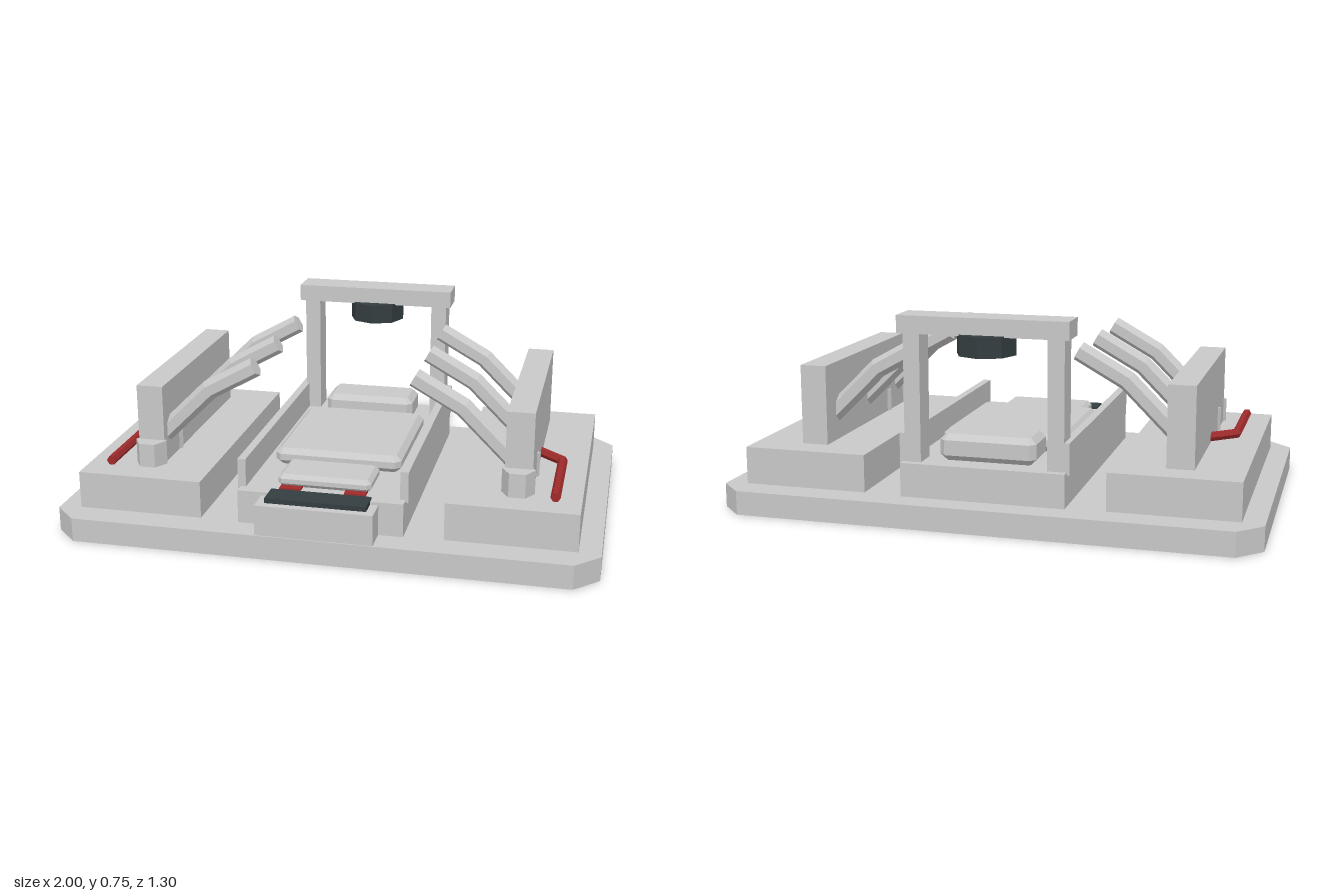
import * as THREE from 'three';

const mat = (name, color, flat) => {
  const m = new THREE.MeshStandardMaterial({ color });
  m.name = name;
  return m;
};

export function createModel() {
  const grey = mat('lightGrey', 0xc8c8c8);
  const dark = mat('darkSlate', 0x343d40);
  const red = mat('deepRed', 0x9e2b2b);
  const model = new THREE.Group();

  const add = (name, geometry, material) => {
    const mesh = new THREE.Mesh(geometry, material);
    mesh.name = name;
    model.add(mesh);
    return mesh;
  };
  const flat = (g) => {
    const f = g.index ? g.toNonIndexed() : g;
    f.computeVertexNormals();
    return f;
  };

  // Box given by its limits on each axis
  const box = (name, x0, x1, y0, y1, z0, z1, material = grey) =>
    add(name, new THREE.BoxGeometry(Math.abs(x1 - x0), y1 - y0, z1 - z0), material)
      .position.set((x0 + x1) / 2, (y0 + y1) / 2, (z0 + z1) / 2);

  // Slab with cut corners and an optional bevel all round
  const slab = (name, hx, hz, y0, y1, z, cut, bevel) => {
    const a = hx - bevel, b = hz - bevel;
    const pts = [[a, b - cut], [a - cut, b], [cut - a, b], [-a, b - cut],
      [-a, cut - b], [cut - a, -b], [a - cut, -b], [a, cut - b]];
    const g = new THREE.ExtrudeGeometry(
      new THREE.Shape(pts.map(([x, y]) => new THREE.Vector2(x, y))), {
        depth: y1 - y0 - 2 * bevel, bevelEnabled: bevel > 0,
        bevelSize: bevel, bevelThickness: bevel, bevelSegments: 1,
      });
    g.rotateX(-Math.PI / 2);
    add(name, g, grey).position.set(0, y0 + bevel, z);
  };

  // Six-sided bar along a planar path with mitred bends; normal is the plane's normal
  const bar = (name, path, radius, normal, turn, material) => {
    const pts = path.map((p) => new THREE.Vector3(...p));
    const n = pts.length;
    const g = new THREE.CylinderGeometry(radius, radius, n - 1, 6, n - 1);
    g.rotateY(turn);
    const dirs = pts.slice(1).map((p, i) => p.clone().sub(pts[i]).normalize());
    const pos = g.attributes.position;
    for (let i = 0; i < pos.count; i++) {
      const k = Math.round(pos.getY(i) + (n - 1) / 2);
      const before = dirs[Math.max(k - 1, 0)], after = dirs[Math.min(k, n - 2)];
      const tangent = before.clone().add(after).normalize();
      const side = tangent.clone().cross(normal).divideScalar(tangent.dot(after));
      const v = pts[k].clone().addScaledVector(side, pos.getX(i)).addScaledVector(normal, pos.getZ(i));
      pos.setXYZ(i, v.x, v.y, v.z);
    }
    add(name, flat(g), material);
  };

  // Base and central platform
  slab('base', 1, 0.65, 0, 0.09, 0, 0.088, 0);
  box('centrePlatform', -0.305, 0.305, 0.09, 0.215, -0.553, 0.548);
  box('frontStep', -0.215, 0.215, 0.09, 0.204, 0.548, 0.645);
  box('frontPanel', -0.185, 0.185, 0.2, 0.222, 0.52, 0.615, dark);

  // Bed and the pads at its ends
  slab('bed', 0.242, 0.267, 0.215, 0.28, 0.003, 0.01, 0.02);
  slab('frontPad', 0.173, 0.09, 0.215, 0.262, 0.392, 0.006, 0.015);
  slab('backPad', 0.18, 0.09, 0.215, 0.315, -0.396, 0.008, 0.022);

  // Overhead gate and its lamp
  box('gateBeam', -0.315, 0.315, 0.685, 0.75, -0.54, -0.415);
  const lamp = flat(new THREE.CylinderGeometry(0.11, 0.11, 0.075, 8));
  add('lamp', lamp, dark).position.set(0, 0.652, -0.475);

  const zAxis = new THREE.Vector3(0, 0, 1), yAxis = new THREE.Vector3(0, 1, 0);
  for (const s of [1, -1]) {
    box('gatePost', s * 0.235, s * 0.296, 0.21, 0.69, -0.525, -0.43);
    box('rail', s * 0.285, s * 0.315, 0.205, 0.32, -0.525, 0.505);
    box('marker', s * 0.08, s * 0.16, 0.213, 0.221, 0.46, 0.505, red);

    // Side platform with its wall
    box('sidePlatform', s * 0.45, s * 0.92, 0.09, 0.23, -0.54, 0.54);
    box('wall', s * 0.64, s * 0.74, 0.23, 0.53, -0.43, 0.38);
    for (const z of [0.205, 0.385]) {
      const post = new THREE.CylinderGeometry(0.06, 0.06, 0.09, 6);
      post.rotateY(Math.PI / 6);
      add('wallPost', flat(post), grey).position.set(s * 0.69, 0.275, z);
    }

    // Arms reaching inward over the bed
    for (const z of [-0.312, 0, 0.312]) {
      bar('arm', [[s * 0.69, 0.30, z], [s * 0.476, 0.512, z], [s * 0.297, 0.612, z]],
        0.037, zAxis, Math.PI / 6, grey);
    }

    // Bent handle on the outer face
    bar('handle', [[s * 0.72, 0.25, -0.012], [s * 0.827, 0.25, 0.085], [s * 0.827, 0.25, 0.452]],
      0.018, yAxis, Math.PI / 6, red);
  }
  return model;
}
